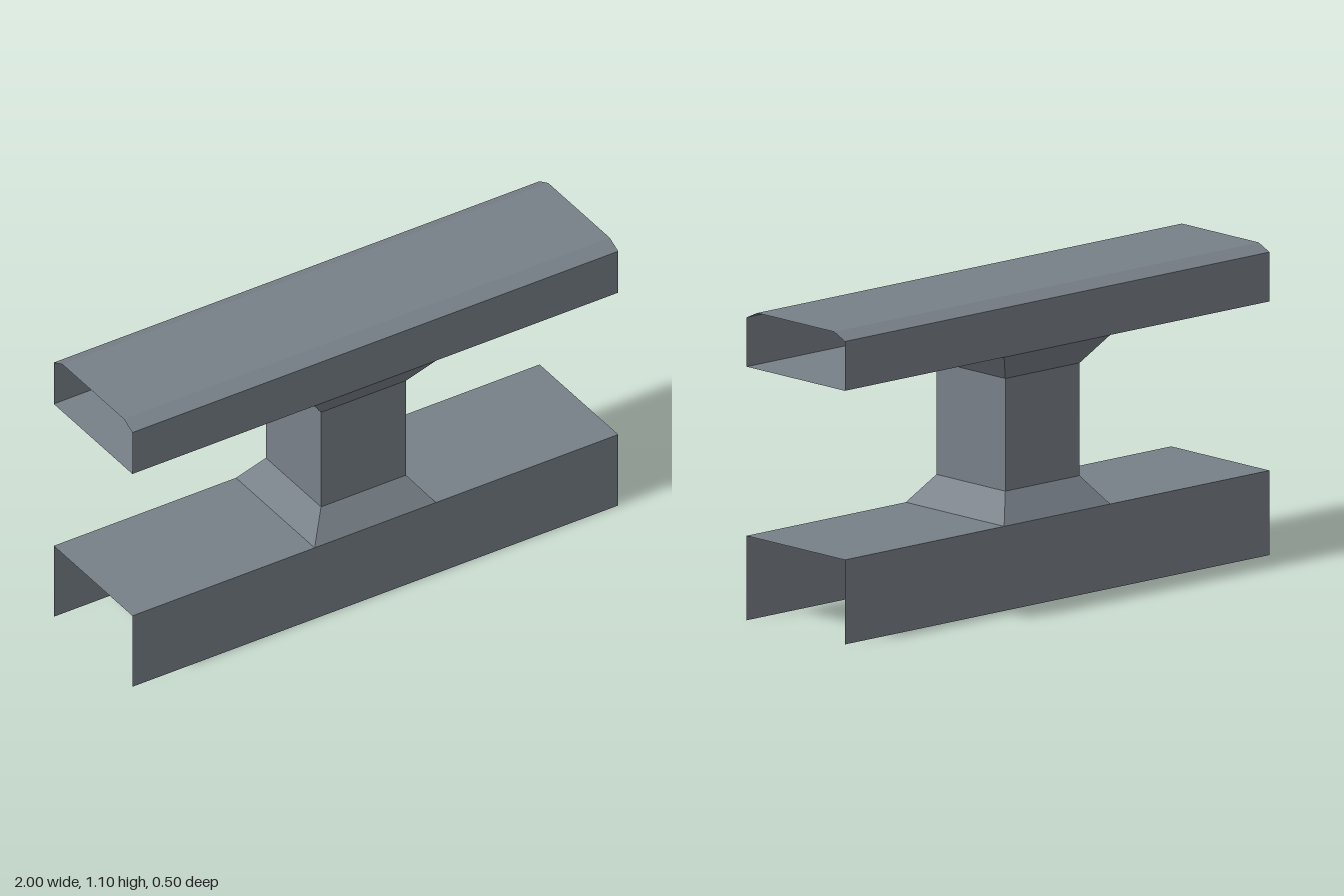
import * as THREE from 'three';

const steel = new THREE.MeshStandardMaterial({ color: 0x788088, side: THREE.DoubleSide });
steel.name = 'steelGrey';

// Open-ended sheet: a (z, y) profile swept along x, one flat face per segment
function sweptSheet(name, profile, halfLength) {
  const positions = [];
  for (let i = 0; i < profile.length - 1; i++) {
    const [z0, y0] = profile[i];
    const [z1, y1] = profile[i + 1];
    const a = [-halfLength, y0, z0], b = [halfLength, y0, z0];
    const c = [halfLength, y1, z1], d = [-halfLength, y1, z1];
    positions.push(...a, ...b, ...c, ...a, ...c, ...d);
  }
  const geometry = new THREE.BufferGeometry();
  geometry.setAttribute('position', new THREE.Float32BufferAttribute(positions, 3));
  geometry.computeVertexNormals();
  const mesh = new THREE.Mesh(geometry, steel);
  mesh.name = name;
  return mesh;
}

// Open square tube that can taper, sized by its half widths
function squareTube(name, topHalf, bottomHalf, y0, y1) {
  const tube = new THREE.CylinderGeometry(topHalf * Math.SQRT2, bottomHalf * Math.SQRT2, y1 - y0, 4, 1, true);
  tube.rotateY(Math.PI / 4);
  const geometry = tube.toNonIndexed();
  geometry.computeVertexNormals();
  geometry.translate(0, (y0 + y1) / 2, 0);
  const mesh = new THREE.Mesh(geometry, steel);
  mesh.name = name;
  return mesh;
}

export function createModel() {
  const model = new THREE.Group();
  model.name = 'railSupport';

  // Lower channel, open underneath and at both ends
  model.add(sweptSheet('lowerChannel', [[0.25, 0], [0.25, 0.3], [-0.25, 0.3], [-0.25, 0]], 1));

  // Column with flared foot and head
  model.add(squareTube('columnFoot', 0.175, 0.25, 0.3, 0.4));
  model.add(squareTube('column', 0.175, 0.175, 0.4, 0.8));
  model.add(squareTube('columnHead', 0.25, 0.175, 0.8, 0.9));

  // Upper hollow rail with chamfered top edges and open ends
  model.add(sweptSheet('upperRail', [
    [0.25, 0.9], [0.25, 1.075], [0.195, 1.1], [-0.195, 1.1], [-0.25, 1.075], [-0.25, 0.9], [0.25, 0.9],
  ], 1));

  return model;
}
